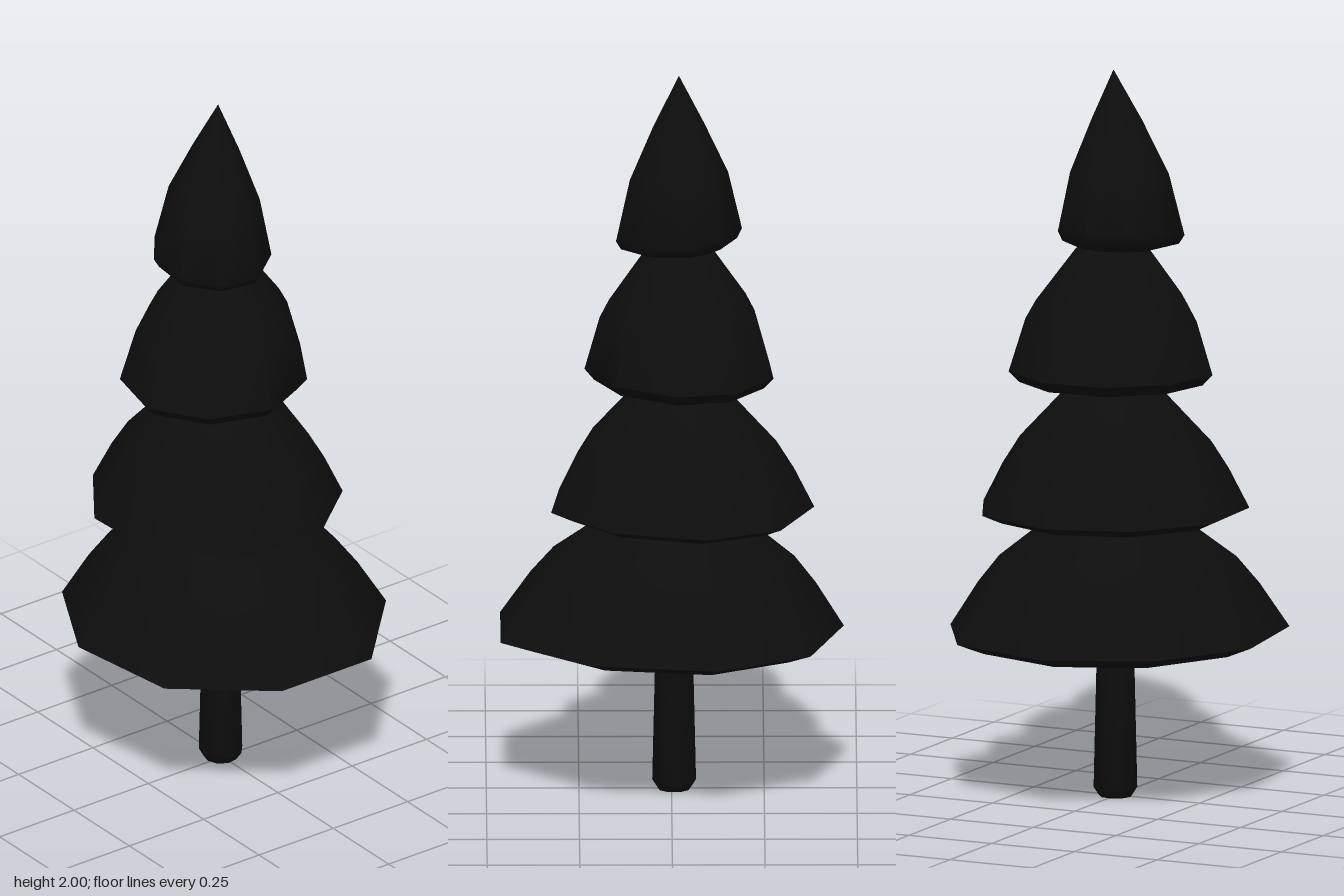
import * as THREE from 'three';
import { toCreasedNormals } from 'three/addons/utils/BufferGeometryUtils.js';

const black = new THREE.MeshStandardMaterial({ color: 0x0d0d0d });
black.name = 'near black';

// Nine uneven corners of a branch skirt, as x, z
const CORNERS = [
  [0.46, 0.145], [0.26, 0.39], [-0.065, 0.437], [-0.34, 0.287], [-0.465, 0.01],
  [-0.375, -0.293], [-0.125, -0.44], [0.22, -0.385], [0.46, -0.157],
];
const AXIS_X = -0.02;

// Skirt outline turned by an angle and fitted to the given extents
function outline(turn, [x0, x1, z0, z1]) {
  const pts = CORNERS.map(([x, z]) => new THREE.Vector2(x, z).rotateAround(new THREE.Vector2(), turn));
  const b = new THREE.Box2().setFromPoints(pts);
  const fitted = pts.map(p => [
    THREE.MathUtils.mapLinear(p.x, b.min.x, b.max.x, x0, x1),
    THREE.MathUtils.mapLinear(p.y, b.min.y, b.max.y, z0, z1),
  ]);
  // add the middle of every side
  return fitted.flatMap((p, i) => {
    const q = fitted[(i + 1) % fitted.length];
    return [p, [(p[0] + q[0]) / 2, (p[1] + q[1]) / 2]];
  });
}

// Loft rings of [scale, y] from the tip down, round the hem and under it
function tierGeometry({ turn, box, rows, tilt = 0 }) {
  const ring = outline(turn, box);
  const n = ring.length;
  const pos = [], index = [];
  rows.forEach(([s, y]) => ring.forEach(([x, z]) => {
    const dx = (x - AXIS_X) * s;
    pos.push(AXIS_X + dx, y - tilt * dx * Math.min(s, 1), z * s);
  }));
  for (let r = 0; r < rows.length - 1; r++) {
    for (let i = 0; i < n; i++) {
      const a = r * n + i, b = r * n + (i + 1) % n;
      if (rows[r][0] > 0) index.push(a, b, b + n);
      if (rows[r + 1][0] > 0) index.push(a, b + n, a + n);
    }
  }
  const g = new THREE.BufferGeometry();
  g.setAttribute('position', new THREE.Float32BufferAttribute(pos, 3));
  g.setIndex(index);
  return toCreasedNormals(g, 0.9);
}

const TIERS = [
  { name: 'bottomBranches', turn: 0, box: [-0.465, 0.462, -0.44, 0.437],
    rows: [[0, 0.84], [0.37, 0.77], [0.7, 0.65], [0.83, 0.575], [1, 0.453], [0.83, 0.422], [0.6, 0.412], [0, 0.412]] },
  { name: 'lowerMiddleBranches', turn: 0.1, box: [-0.385, 0.325, -0.355, 0.345],
    rows: [[0, 1.2], [0.31, 1.14], [0.72, 0.98], [0.85, 0.905], [1, 0.797], [0.85, 0.772], [0.6, 0.765], [0, 0.765]] },
  { name: 'upperMiddleBranches', turn: 0.35, box: [-0.275, 0.235, -0.272, 0.275],
    rows: [[0, 1.58], [0.36, 1.51], [0.74, 1.37], [0.84, 1.32], [1, 1.175], [0.9, 1.145], [0.62, 1.132], [0, 1.132]] },
  { name: 'topBranches', turn: 0.15, box: [-0.19, 0.15, -0.147, 0.18], tilt: 0.1,
    rows: [[0, 2], [0.4, 1.865], [0.78, 1.72], [1, 1.555], [0.92, 1.53], [0.62, 1.512], [0, 1.512]] },
];

export function createModel() {
  const tree = new THREE.Group();
  tree.name = 'tree';

  // Four stacked skirts of branches
  for (const t of TIERS) {
    const mesh = new THREE.Mesh(tierGeometry(t), black);
    mesh.name = t.name;
    tree.add(mesh);
  }

  // Slim trunk with a bevelled foot
  const profile = [[0, 0], [0.045, 0], [0.06, 0.022], [0.05, 0.45], [0, 0.45]]
    .map(([r, y]) => new THREE.Vector2(r, y));
  const trunk = new THREE.Mesh(toCreasedNormals(new THREE.LatheGeometry(profile, 9), 0.8), black);
  trunk.name = 'trunk';
  trunk.position.x = -0.007;
  tree.add(trunk);

  return tree;
}
